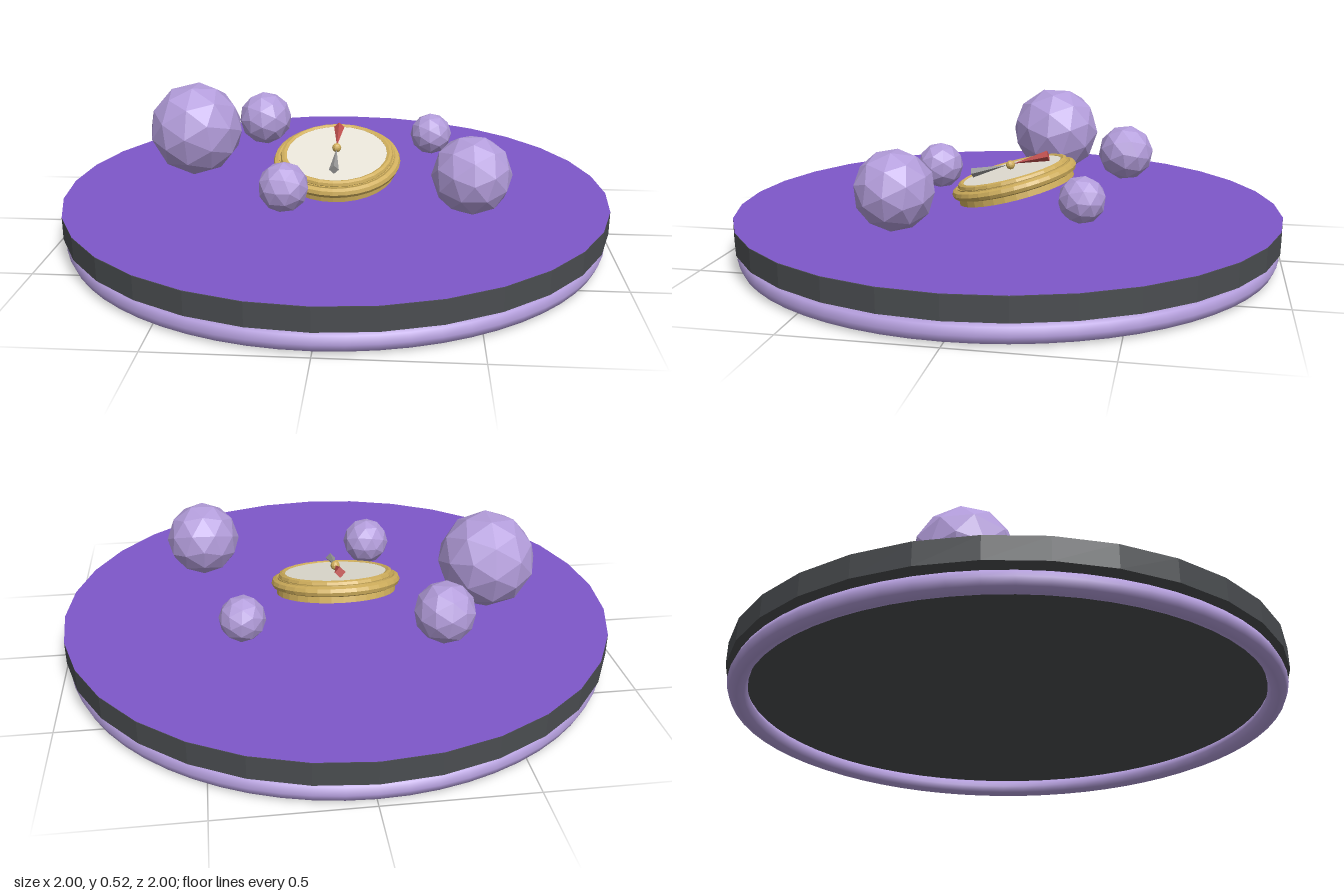
import * as THREE from 'three';

const mat = (color, flatShading = true) => new THREE.MeshStandardMaterial({ color, flatShading });

function add(parent, name, geometry, material, x = 0, y = 0, z = 0) {
  const mesh = new THREE.Mesh(geometry, material);
  mesh.name = name;
  mesh.position.set(x, y, z);
  parent.add(mesh);
  return mesh;
}

// Ring lying flat, axis along y
const flatRing = (radius, tube, sides, segments) =>
  new THREE.TorusGeometry(radius, tube, sides, segments).rotateX(Math.PI / 2);

export function createModel() {
  const model = new THREE.Group();
  model.name = 'compassDisplay';

  const dark = mat(0x4a4d50);
  const purple = mat(0x7e57c9);
  const lilac = mat(0xb39ddb);
  const gold = mat(0xcfae5c);

  // Round platform with coloured top and a glow ring underneath
  add(model, 'platform', new THREE.CylinderGeometry(1, 1, 0.08, 32), dark, 0, 0.12, 0);
  add(model, 'platformTop', new THREE.CircleGeometry(1, 32).rotateX(-Math.PI / 2), purple, 0, 0.162, 0);
  add(model, 'underRing', flatRing(0.955, 0.035, 8, 64), mat(0xb39ddb, false), 0, 0.035, 0);

  // Floating faceted orbs: x, y, z, radius
  const orbs = [
    [-0.543, 0.352, -0.1, 0.177],
    [0.485, 0.32, 0.288, 0.138],
    [-0.32, 0.312, -0.412, 0.107],
    [0.36, 0.285, -0.32, 0.081],
    [-0.16, 0.265, 0.302, 0.089],
  ];
  orbs.forEach(([x, y, z, r], i) => {
    const orb = add(model, 'orb' + (i + 1), new THREE.IcosahedronGeometry(r, 1), lilac, x, y, z);
    orb.rotation.set(0.3 + i * 0.7, 0.5 + i * 1.1, 0);
  });

  // Compass, tipped towards the front
  const compass = new THREE.Group();
  compass.name = 'compass';
  compass.position.set(0.003, 0.258, -0.025);
  compass.rotation.x = 0.262;
  model.add(compass);

  add(compass, 'case', new THREE.CylinderGeometry(0.215, 0.22, 0.06, 32), gold, 0, -0.005, 0);
  add(compass, 'caseBand', flatRing(0.22, 0.018, 8, 32), gold, 0, 0.005, 0);
  add(compass, 'bezel', flatRing(0.198, 0.014, 8, 24), gold, 0, 0.027, 0);
  add(compass, 'dial', new THREE.CylinderGeometry(0.19, 0.19, 0.02, 24), mat(0xe8e4d8), 0, 0.026, 0);
  add(compass, 'hub', new THREE.SphereGeometry(0.017, 10, 8), gold, 0, 0.058, 0);

  // Needles narrow towards the hub
  const needle = (name, color, radius, length, dir) => {
    const geometry = new THREE.ConeGeometry(radius, length, 4).rotateX(-dir * Math.PI / 2);
    add(compass, name, geometry, mat(color), 0, 0.06, dir * (0.012 + length / 2));
  };
  needle('northNeedle', 0xc0504f, 0.02, 0.135, -1);
  needle('southNeedle', 0x9a9a9a, 0.018, 0.14, 1);

  return model;
}
